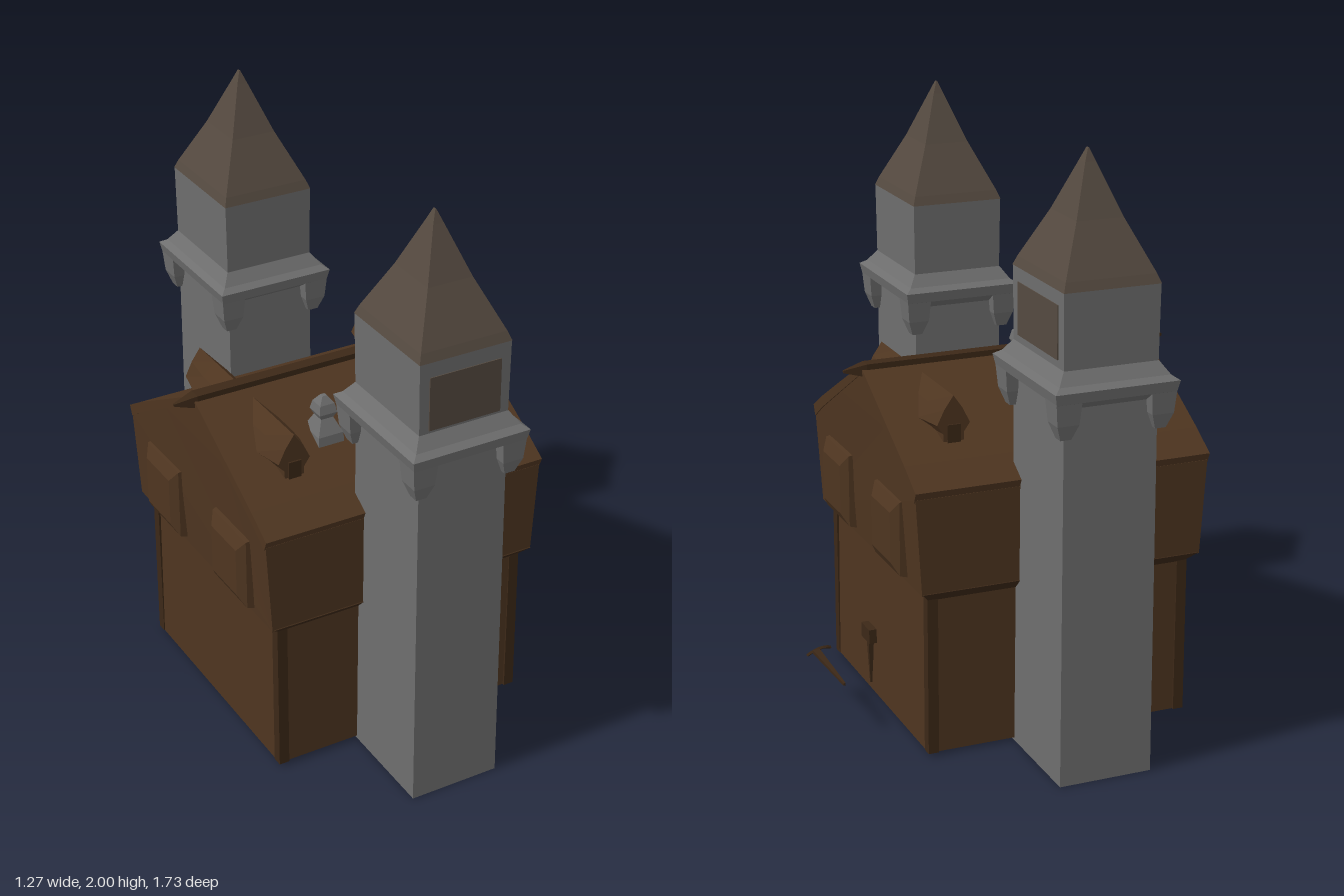
import * as THREE from 'three';

const make = (color) => new THREE.MeshStandardMaterial({ color, flatShading: true });
const wood = make(0x4e3520), darkWood = make(0x3c2817), stone = make(0x6e6e6e), spireMat = make(0x554a40);

// Stack of rectangular sections [y, x0, x1, z0, z1], closed at both ends
function loft(sections) {
  const pos = [], idx = [];
  for (const [y, x0, x1, z0, z1] of sections) {
    pos.push(x0, y, z0, x0, y, z1, x1, y, z1, x1, y, z0);
  }
  for (let s = 0; s < sections.length - 1; s++) {
    for (let i = 0; i < 4; i++) {
      const a = s * 4 + i, b = s * 4 + (i + 1) % 4;
      idx.push(a, b, b + 4, a, b + 4, a + 4);
    }
  }
  const t = (sections.length - 1) * 4;
  idx.push(t, t + 1, t + 2, t, t + 2, t + 3, 0, 2, 1, 0, 3, 2);
  const g = new THREE.BufferGeometry();
  g.setAttribute('position', new THREE.Float32BufferAttribute(pos, 3));
  g.setIndex(idx);
  const flat = g.toNonIndexed();
  flat.computeVertexNormals();
  return flat;
}

// Same, centred: [y, half width, half depth]
const tiers = (list) => loft(list.map(([y, w, d]) => [y, -w, w, -d, d]));

function prism(points, depth) {
  const shape = new THREE.Shape(points.map(([x, y]) => new THREE.Vector2(x, y)));
  return new THREE.ExtrudeGeometry(shape, { depth, bevelEnabled: false });
}

function add(parent, name, geometry, material, x = 0, y = 0, z = 0) {
  const mesh = new THREE.Mesh(geometry, material);
  mesh.name = name;
  mesh.position.set(x, y, z);
  parent.add(mesh);
  return mesh;
}

function tower(name) {
  const g = new THREE.Group();
  g.name = name;
  add(g, 'shaft', tiers([[0, 0.158, 0.194], [1.28, 0.156, 0.19]]), stone);
  // Flared parapet below the belfry
  add(g, 'parapet', tiers([[1.25, 0.156, 0.19], [1.28, 0.2, 0.235], [1.315, 0.207, 0.243], [1.33, 0.185, 0.22], [1.37, 0.158, 0.19]]), stone);
  for (const sx of [-1, 1]) for (const sz of [-1, 1]) {
    add(g, 'cornerBracket', tiers([[1.16, 0.018, 0.018], [1.21, 0.036, 0.036], [1.3, 0.044, 0.044]]), stone, sx * 0.158, 0, sz * 0.192);
  }
  add(g, 'belfry', tiers([[1.36, 0.157, 0.19], [1.61, 0.16, 0.192]]), stone);
  add(g, 'spire', tiers([[1.61, 0.161, 0.193], [1.64, 0.15, 0.18], [1.8, 0.078, 0.095], [1.96, 0.018, 0.022], [2, 0.002, 0.006]]), spireMat);
  return g;
}

export function createModel() {
  const model = new THREE.Group();
  model.name = 'twinTowerHouse';

  // Ground floor and corner posts
  add(model, 'groundFloor', loft([[0.01, -0.51, 0.405, -0.45, 0.45], [0.57, -0.505, 0.4, -0.455, 0.455]]), wood);
  for (const x of [-0.495, 0.39]) for (const z of [-0.44, 0.44]) {
    add(model, 'cornerPost', new THREE.BoxGeometry(0.036, 0.55, 0.036), darkWood, x, 0.285, z);
  }

  // Jettied upper floor with gabled roof
  add(model, 'jetty', loft([[0.54, -0.5, 0.4, -0.45, 0.45], [0.58, -0.54, 0.435, -0.49, 0.49]]), darkWood);
  const gable = prism([[-0.485, 0.575], [0.485, 0.575], [0.487, 0.9], [0.4, 0.96], [0.22, 1.06], [0, 1.19], [-0.22, 1.06], [-0.4, 0.96], [-0.487, 0.9]], 1);
  gable.rotateY(Math.PI / 2);
  const gp = gable.attributes.position;
  for (let i = 0; i < gp.count; i++) {
    const lean = 0.49 + 0.02 * Math.min(1, (gp.getY(i) - 0.575) / 0.325);
    gp.setX(i, -0.054 + (gp.getX(i) > 0.5 ? lean : -lean));
  }
  gable.computeVertexNormals();
  add(model, 'upperFloor', gable, wood);

  // Roof covering, one slab per slope following the bent eaves
  for (const s of [-1, 1]) {
    const pts = [[0, 1.175], [0.4, 0.945], [0.482, 0.89], [0.497, 0.925], [0.4, 0.985], [0, 1.205]];
    const slope = prism(s > 0 ? pts : pts.map(([x, y]) => [-x, y]).reverse(), 1.026);
    slope.rotateY(Math.PI / 2);
    add(model, 'roofSlope', slope, wood, -0.567);
  }
  // Ridge beam with pointed ends
  const ridge = tiers([[-0.575, 0.004, 0.004], [-0.5, 0.022, 0.022], [0.5, 0.022, 0.022], [0.575, 0.004, 0.004]]);
  ridge.rotateZ(-Math.PI / 2);
  add(model, 'ridgeBeam', ridge, darkWood, -0.057, 1.19, 0);

  // Dormers on both slopes, sharing a cross ridge
  const outline = [[-0.05, 0.99], [0.05, 0.99], [0.05, 1.05], [0.08, 1.08], [0.045, 1.13], [0, 1.175], [-0.045, 1.13], [-0.08, 1.08], [-0.05, 1.05]];
  for (const x of [-0.375, 0.265]) for (const s of [-1, 1]) {
    const g = new THREE.Group();
    g.name = 'dormer';
    const body = prism(outline, 0.22);
    add(g, 'dormerBody', body, wood);
    const nose = prism(outline, 0.11);
    const p = nose.attributes.position;
    for (let i = 0; i < p.count; i++) if (p.getZ(i) > 0.05) p.setX(i, p.getX(i) * 0.7);
    nose.computeVertexNormals();
    add(g, 'dormerFront', nose, wood, 0, 0, 0.22);
    add(g, 'dormerPane', new THREE.BoxGeometry(0.045, 0.06, 0.012), darkWood, 0, 1.05, 0.33);
    g.position.x = x;
    if (s < 0) g.rotation.y = Math.PI;
    model.add(g);
  }

  // Chamfered bay windows on both gable walls
  for (const s of [-1, 1]) for (const z of [-0.24, 0.245]) {
    const bay = tiers([[-0.03, 0.135, 0.122], [0.012, 0.125, 0.115], [0.034, 0.085, 0.085]]);
    bay.rotateZ(-s * Math.PI / 2);
    add(model, 'bayWindow', bay, wood, -0.054 + s * 0.503, 0.725, z);
  }

  // Towers front and back
  const front = tower('frontTower');
  front.position.set(-0.055, 0, 0.622);
  const back = tower('backTower');
  back.position.set(-0.055, 0, -0.622);
  add(front, 'belfryPanel', new THREE.BoxGeometry(0.25, 0.18, 0.008), spireMat, 0, 1.47, 0.191);
  add(back, 'belfryPanel', new THREE.BoxGeometry(0.008, 0.17, 0.3), spireMat, 0.158, 1.48, 0);
  model.add(front, back);

  // Small chimney on the front slope
  add(model, 'chimney', tiers([[0.98, 0.05, 0.06], [1.09, 0.045, 0.05], [1.14, 0.022, 0.024], [1.16, 0.032, 0.034], [1.19, 0.026, 0.026], [1.215, 0.008, 0.008]]), stone, -0.205, 0, 0.215);

  // Wall bracket and the thin loose rail beside the house
  add(model, 'wallBracket', new THREE.BoxGeometry(0.03, 0.05, 0.08), darkWood, 0.415, 0.225, 0.08);
  add(model, 'bracketStem', tiers([[0.04, 0.003, 0.003], [0.2, 0.01, 0.01]]), darkWood, 0.412, 0, 0.08);
  const rail = tiers([[0, 0.013, 0.006], [0.29, 0.004, 0.004]]);
  rail.rotateX(-Math.PI / 2);
  add(model, 'rail', rail, darkWood, 0.605, 0.185, 0.085);
  const arc = new THREE.QuadraticBezierCurve3(new THREE.Vector3(0.55, 0.185, 0.1), new THREE.Vector3(0.59, 0.205, 0.085), new THREE.Vector3(0.633, 0.168, 0.1));
  add(model, 'railFoot', new THREE.TubeGeometry(arc, 6, 0.006, 4), darkWood);
  return model;
}
